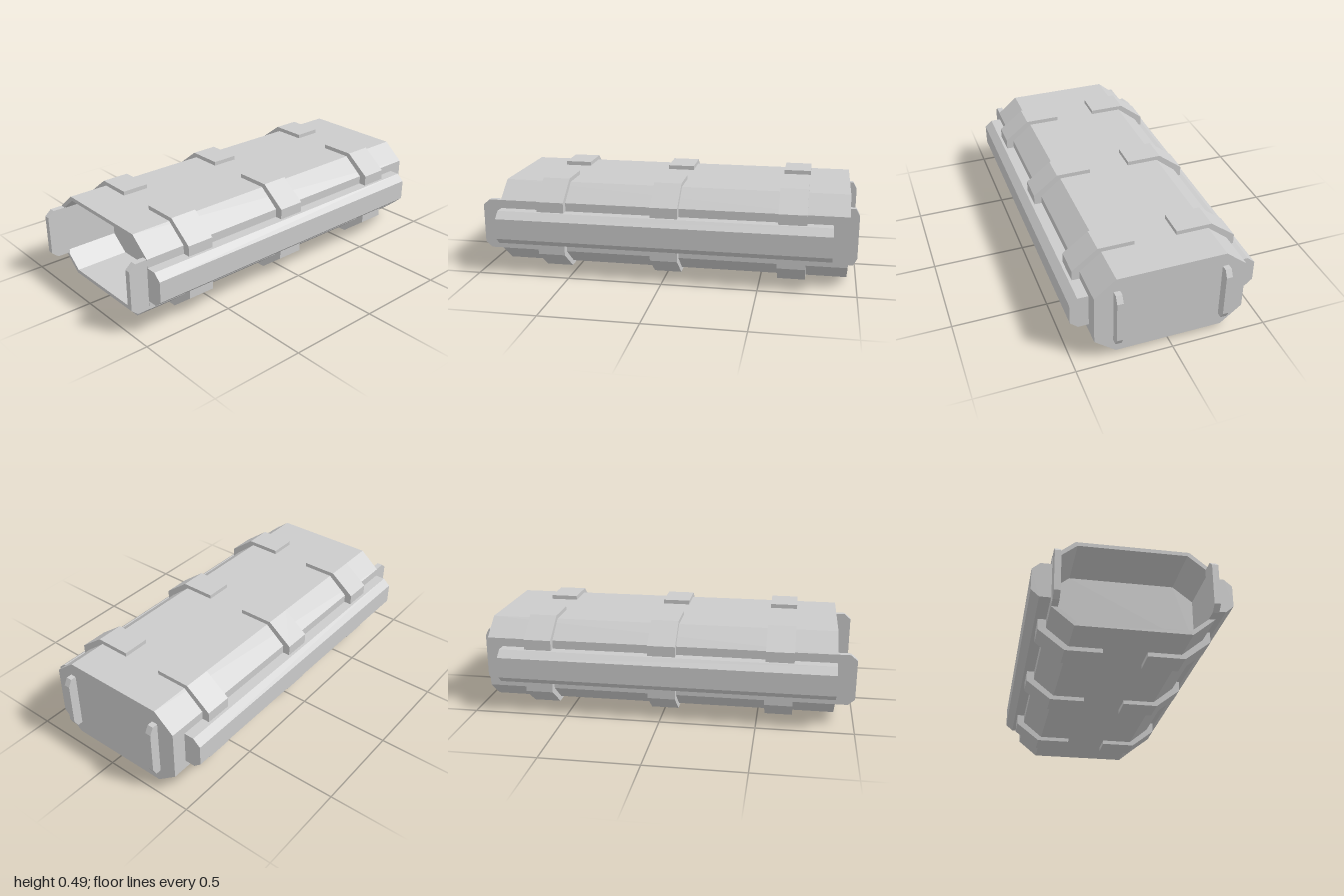
import * as THREE from 'three';

const MID = 0.25; // height of the horizontal symmetry plane
const material = new THREE.MeshStandardMaterial({ color: 0xcccccc, flatShading: true });

// Chamfered rectangle, counter-clockwise: half width/height, then half length of the flat edges
function octagon(w, h, flatW, flatH) {
  return [[w, -flatH], [w, flatH], [flatW, h], [-flatW, h],
    [-w, flatH], [-w, -flatH], [-flatW, -h], [flatW, -h]];
}

// Skin through successive [loop, z] sections with flat caps on both ends
function loft(sections) {
  const pos = [];
  const rings = sections.map(([loop, z]) => loop.map(([x, y]) => [x, y + MID, z]));
  const n = rings[0].length;
  for (let s = 0; s < rings.length - 1; s++) {
    const a = rings[s], b = rings[s + 1];
    for (let i = 0; i < n; i++) {
      const j = (i + 1) % n;
      pos.push(...a[i], ...a[j], ...b[j], ...a[i], ...b[j], ...b[i]);
    }
  }
  const first = rings[0], last = rings[rings.length - 1];
  for (let i = 1; i < n - 1; i++) {
    pos.push(...first[0], ...first[i + 1], ...first[i]);
    pos.push(...last[0], ...last[i], ...last[i + 1]);
  }
  const geo = new THREE.BufferGeometry();
  geo.setAttribute('position', new THREE.Float32BufferAttribute(pos, 3));
  geo.computeVertexNormals();
  return geo;
}

// Extrude an outline in the xy plane from z0 to z1
function prism(points, z0, z1) {
  const shape = new THREE.Shape(points.map(([x, y]) => new THREE.Vector2(x, y)));
  const geo = new THREE.ExtrudeGeometry(shape, { depth: z1 - z0, bevelEnabled: false });
  return geo.translate(0, 0, z0);
}

// Extrude a [z, y] outline across x, centred on the given x
function sidePlate(points, x, width) {
  const geo = prism(points.map(([z, y]) => [-z, y]), -width / 2, width / 2);
  return geo.rotateY(Math.PI / 2).translate(x, 0, 0);
}

export function createModel() {
  const model = new THREE.Group();
  const add = (name, geo, parent = model) => {
    const mesh = new THREE.Mesh(geo, material);
    mesh.name = name;
    parent.add(mesh);
    return mesh;
  };

  // Main case: octagonal block with a recess in the front
  const outer = octagon(0.39, 0.225, 0.28, 0.135);
  const inner = octagon(0.372, 0.205, 0.27, 0.125);
  add('caseBody', loft([[outer, -0.95], [outer, 0.9], [inner, 0.9], [inner, 0.6]]));

  // Profiles of the parts on the +x side
  const rail = [[0.385, -0.09], [0.445, -0.09], [0.485, -0.055],
    [0.485, 0.055], [0.445, 0.09], [0.385, 0.09]];
  const clip = [[0.11, 0.22], [0.275, 0.22], [0.385, 0.13], [0.385, 0.06],
    [0.43, 0.06], [0.43, 0.145], [0.298, 0.247], [0.11, 0.247]];

  for (const side of [1, -1]) {
    const label = side > 0 ? 'left' : 'right';
    const place = (points, flip = 1) => points.map(([x, y]) => [x * side, MID + y * flip]);

    // Long chamfered side rail
    add(label + 'Rail', prism(place(rail), -0.87, 0.9));

    // Three pairs of corner clips, top and bottom
    for (const z of [0.612, 0, -0.664]) {
      add(label + 'TopClip', prism(place(clip), z - 0.073, z + 0.073));
      add(label + 'BottomClip', prism(place(clip, -1), z - 0.073, z + 0.073));
    }

    // Front tab on the rim of the recess
    add(label + 'FrontTab', sidePlate([[0.895, 0.115], [0.965, 0.115], [1, 0.145],
      [1, 0.355], [0.965, 0.385], [0.895, 0.385]], side * 0.373, 0.031));

    // Thin vertical grip on the back face
    add(label + 'BackGrip', sidePlate([[-0.94, 0.097], [-0.98, 0.097], [-1, 0.135],
      [-1, 0.365], [-0.98, 0.403], [-0.94, 0.403]], side * 0.278, 0.032));
  }
  return model;
}
